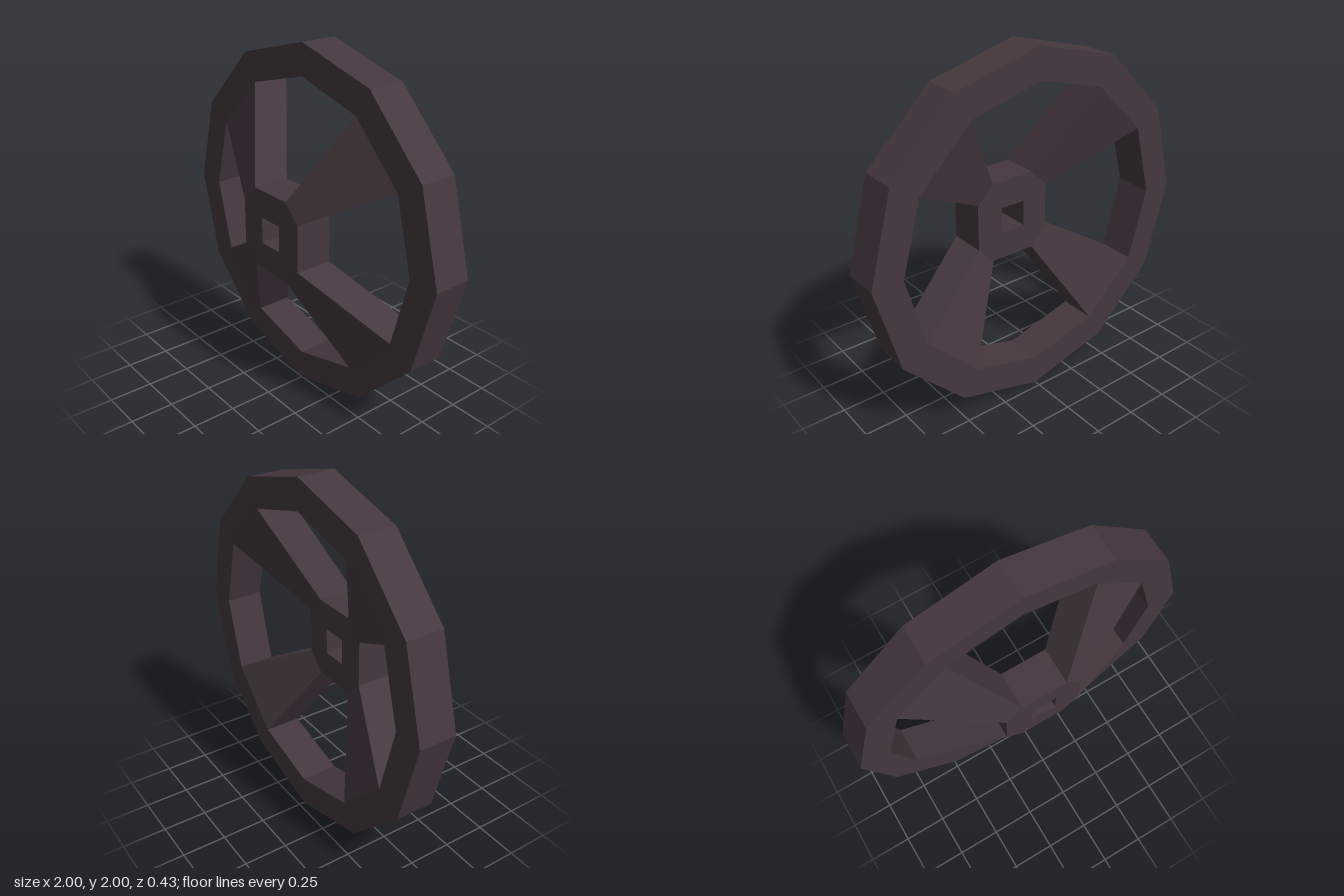
import * as THREE from 'three';

const DEPTH = 0.215;
const RIM_OUTER = 1, RIM_INNER = 0.825, HUB_RADIUS = 0.268;

// Points on a circle at the given angles in degrees
const ring = (radius, degrees) => degrees.map((d) => {
  const a = THREE.MathUtils.degToRad(d);
  return new THREE.Vector2(Math.cos(a) * radius, Math.sin(a) * radius);
});

// Flat-sided plate with a hole, its back face at z
function plate(outline, hole, z) {
  const shape = new THREE.Shape(outline);
  shape.holes.push(new THREE.Path(hole));
  return new THREE.ExtrudeGeometry(shape, { depth: DEPTH, bevelEnabled: false }).translate(0, 0, z);
}

// Spoke: a box stretched from the hub's corner facet back to one inner side of the rim
function spokeGeometry() {
  const geometry = new THREE.BoxGeometry(1, 1, 1);
  const p = geometry.attributes.position;
  for (let i = 0; i < p.count; i++) {
    const atRim = p.getX(i) > 0;
    const [v] = ring(atRim ? RIM_INNER : HUB_RADIUS, [p.getY(i) > 0 ? 60 : 30]);
    const z = (p.getZ(i) > 0 ? DEPTH : 0) - (atRim ? DEPTH : 0);
    p.setXYZ(i, v.x, v.y, z);
  }
  geometry.computeVertexNormals();
  return geometry;
}

export function createModel() {
  const darkMetal = new THREE.MeshStandardMaterial({ color: 0x45383e, flatShading: true });
  darkMetal.name = 'dark metal';

  const wheel = new THREE.Group();
  wheel.name = 'wheel';
  wheel.position.y = 1;
  const add = (name, geometry) => {
    const mesh = new THREE.Mesh(geometry, darkMetal);
    mesh.name = name;
    wheel.add(mesh);
    return mesh;
  };

  // Twelve-sided rim
  const twelve = Array.from({ length: 12 }, (_, i) => i * 30);
  add('rim', plate(ring(RIM_OUTER, twelve), ring(RIM_INNER, twelve), -DEPTH));

  // Hub with cut corners and a square axle hole, set forward of the rim
  const corners = [30, 60, 120, 150, 210, 240, 300, 330];
  add('hub', plate(ring(HUB_RADIUS, corners), ring(0.106, [45, 135, 225, 315]), 0));

  // Four slanted spokes
  const spoke = spokeGeometry();
  for (let i = 0; i < 4; i++) add('spoke' + (i + 1), spoke).rotation.z = (i * Math.PI) / 2;

  const model = new THREE.Group();
  model.name = 'dishedWheel';
  model.add(wheel);
  return model;
}
